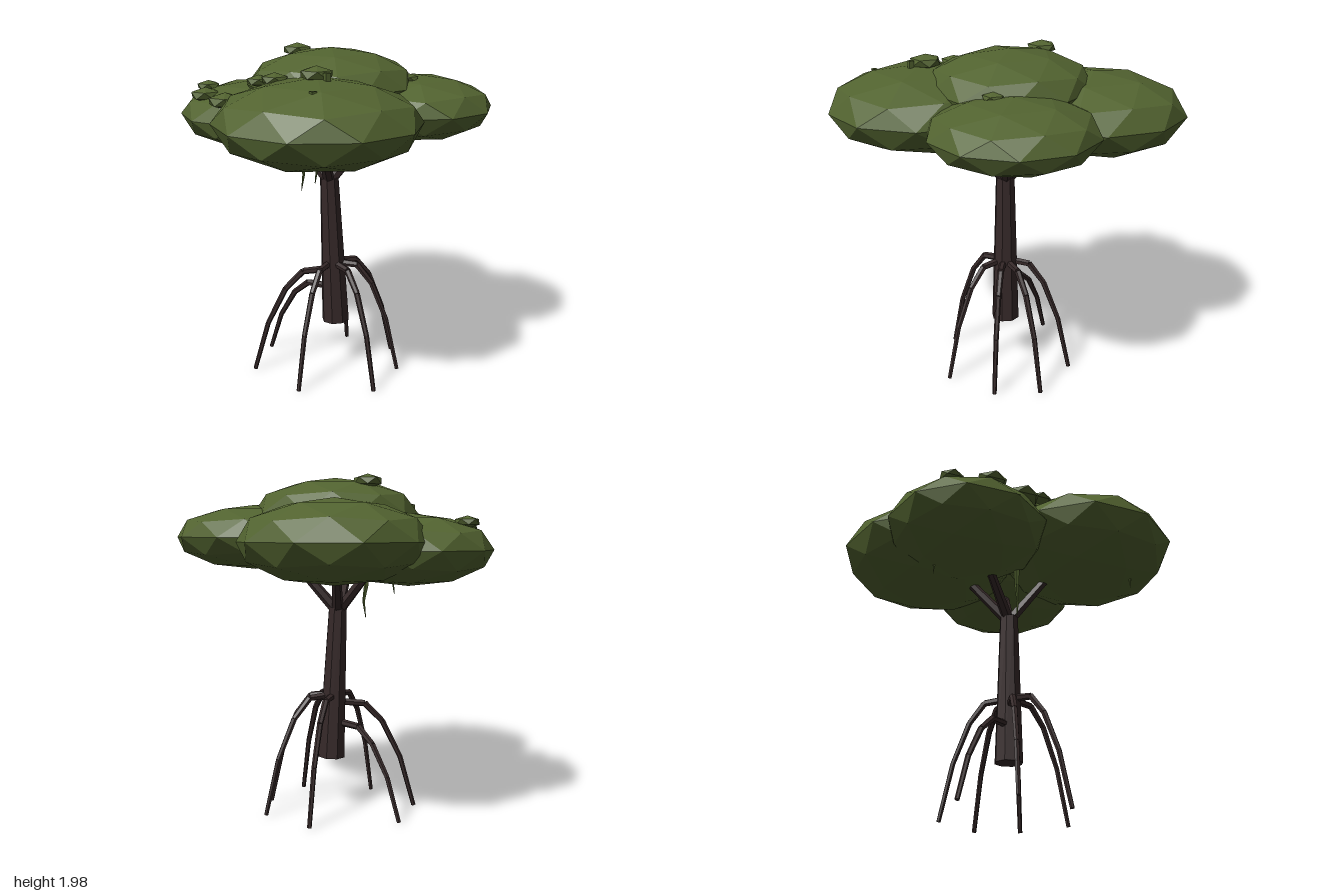
import * as THREE from 'three';
import { mergeGeometries } from 'three/addons/utils/BufferGeometryUtils.js';

const bark = new THREE.MeshStandardMaterial({ color: 0x352828, flatShading: true });
bark.name = 'dark bark';
const leaf = new THREE.MeshStandardMaterial({ color: 0x526330, flatShading: true });
leaf.name = 'olive leaf';

const UP = new THREE.Vector3(0, 1, 0);

// Tapered straight piece between two points
function strut(a, b, ra, rb, sides) {
  const dir = b.clone().sub(a);
  const geo = new THREE.CylinderGeometry(rb, ra, dir.length(), sides);
  geo.applyQuaternion(new THREE.Quaternion().setFromUnitVectors(UP, dir.normalize()));
  const mid = a.clone().add(b).multiplyScalar(0.5);
  return geo.translate(mid.x, mid.y, mid.z);
}

// Chain of struts along points, with the radius going evenly from r0 to r1
function limb(points, r0, r1, sides) {
  const pts = points.map((p) => new THREE.Vector3(...p));
  const n = pts.length - 1;
  const radius = (i) => r0 + ((r1 - r0) * i) / n;
  const parts = [];
  for (let i = 0; i < n; i++) parts.push(strut(pts[i], pts[i + 1], radius(i), radius(i + 1), sides));
  return mergeGeometries(parts);
}

// Faceted ball with a vertex at each pole and a ten-sided equator
function ball(detail, center, size) {
  return new THREE.IcosahedronGeometry(1, detail)
    .rotateX(-Math.atan((1 + Math.sqrt(5)) / 2))
    .rotateY(Math.PI / 2)
    .scale(...size)
    .translate(...center);
}

export function createModel() {
  const tree = new THREE.Group();
  tree.name = 'mangroveTree';
  const add = (name, geometry, material) => {
    const mesh = new THREE.Mesh(geometry, material);
    mesh.name = name;
    tree.add(mesh);
  };

  // Leaning trunk, raised above the ground
  add('trunk', limb([[0.05, 0.32, -0.012], [0.012, 1.225, 0]], 0.084, 0.056, 8), bark);

  // Branches fanning out into the canopy
  const branchEnds = [[-0.25, 1.5, -0.07], [0.27, 1.52, -0.1], [0.03, 1.52, 0.28], [-0.08, 1.52, -0.28]];
  branchEnds.forEach((end) => add('branch', limb([[0.012, 1.2, 0], end], 0.034, 0.024, 6), bark));

  // Arching stilt roots: foot x, foot z, height of the arch
  const roots = [
    [-0.08, 0.37, 0.7], [0.35, 0.26, 0.7], [-0.42, 0.17, 0.655], [0.435, -0.05, 0.7],
    [-0.42, -0.15, 0.535], [0.35, -0.31, 0.7], [0.03, -0.415, 0.7],
  ];
  const arch = [[0.08, 1], [0.37, 0.985], [0.59, 0.82], [0.82, 0.48], [1, 0.01]];
  roots.forEach(([x, z, h]) => {
    const points = arch.map(([t, k]) => [0.03 + (x - 0.03) * t, h * k, z * t]);
    add('stiltRoot', limb(points, 0.022, 0.013, 6), bark);
  });

  // Main canopy clumps: centre, then half sizes
  const clumps = {
    frontCanopy: [[0.07, 1.637, 0.47], [0.557, 0.235, 0.53]],
    backCanopy: [[-0.145, 1.615, -0.47], [0.52, 0.23, 0.53]],
    rightCanopy: [[-0.45, 1.57, -0.12], [0.47, 0.2, 0.47]],
    leftCanopy: [[0.463, 1.638, -0.17], [0.46, 0.185, 0.46]],
    topCanopy: [[0.015, 1.77, -0.03], [0.48, 0.205, 0.47]],
  };
  for (const [name, [center, size]] of Object.entries(clumps)) add(name, ball(1, center, size), leaf);

  // Small leaf tufts resting on the canopy: x, y, z, radius
  const tufts = [
    [-0.77, 1.72, -0.11, 0.075], [-0.7, 1.7, 0.1, 0.095], [-0.53, 1.69, 0.23, 0.105],
    [-0.31, 1.815, 0.28, 0.075], [-0.19, 1.84, 0.37, 0.08], [0.06, 1.885, 0.45, 0.095],
    [-0.22, 1.945, -0.15, 0.09], [0.45, 1.81, -0.06, 0.065],
  ];
  tufts.forEach(([x, y, z, r]) => add('leafTuft', ball(0, [x, y, z], [r, r * 0.45, r]), leaf));

  // Thin hanging vines: x, top, z, tip height
  const vines = [[-0.14, 1.56, 0.09, 1.16], [0.12, 1.84, 0.735, 1.39], [-0.44, 1.76, -0.33, 1.34], [0.13, 1.9, 0.51, 1.46]];
  vines.forEach(([x, top, z, tip]) => {
    const middle = tip + (top - tip) * 0.5;
    const points = [[x, top, z], [x + 0.005, middle, z], [x + 0.022, tip + 0.1, z], [x + 0.008, tip, z]];
    add('hangingVine', limb(points, 0.02, 0.002, 4), leaf);
  });

  return tree;
}
